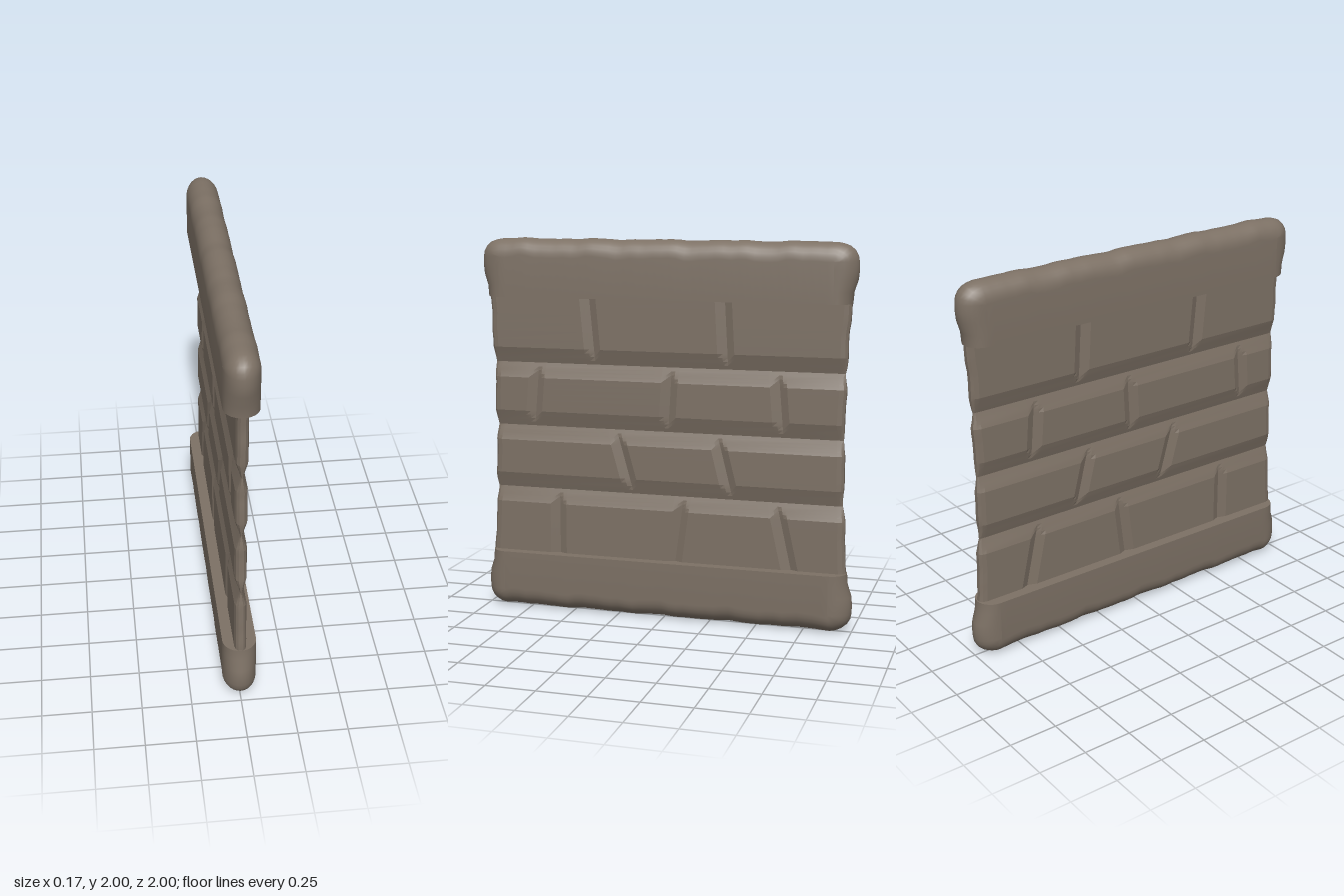
import * as THREE from 'three';
import { toCreasedNormals } from 'three/addons/utils/BufferGeometryUtils.js';

const stone = new THREE.MeshStandardMaterial({ color: 0x7d7165 });

// Skin over closed rings of [x, y, z] points, with optional fan caps
function loft(rings, capped) {
  const n = rings[0].length;
  const pos = rings.flat(2);
  const index = [];
  for (let i = 0; i < rings.length - 1; i++) {
    for (let j = 0; j < n; j++) {
      const k = (j + 1) % n;
      const a = i * n + j, b = i * n + k, c = b + n, d = a + n;
      index.push(a, b, c, a, c, d);
    }
  }
  if (capped) {
    const last = (rings.length - 1) * n;
    for (let j = 1; j < n - 1; j++) {
      index.push(0, j + 1, j, last, last + j, last + j + 1);
    }
  }
  const g = new THREE.BufferGeometry();
  g.setAttribute('position', new THREE.Float32BufferAttribute(pos, 3));
  g.setIndex(index);
  return g;
}

function addMesh(parent, name, geometry, crease) {
  const mesh = new THREE.Mesh(toCreasedNormals(geometry, crease), stone);
  mesh.name = name;
  parent.add(mesh);
  return mesh;
}

// Uneven worn-stone ripple, roughly -1..1
const ripple = (s, seed) =>
  0.5 * Math.sin(s * 17 + seed) + 0.3 * Math.sin(s * 31 + seed * 2.3) + 0.2 * Math.sin(s * 53 + seed * 4.1);

// Thick rail: flat underside at y = 1.69, outer edges rounded over
function copingGeometry(seed) {
  const base = 1.69, half = 0.085, path = [];
  for (const [z, y] of [[0.97, base], [0.975, 1.75], [0.995, 1.81], [1, 1.86], [0.998, 1.9]]) path.push([z, y]);
  for (let i = 1; i <= 5; i++) {
    const t = (i / 5) * Math.PI / 2;
    path.push([0.89 + 0.108 * Math.cos(t), 1.9 + 0.095 * Math.sin(t)]);
  }
  const corner = path.slice();
  for (let i = 1; i < 44; i++) path.push([0.89 - (1.78 * i) / 44, 1.995]);
  for (const [z, y] of corner.reverse()) path.push([-z, y]);

  const rings = path.map(([z, y]) => {
    const r = ripple(z, seed);
    const outY = y > 1.98 ? Math.min(2, y + 0.005 * r) : y;
    const inZ = THREE.MathUtils.clamp(z, -0.885, 0.885);
    const inY = Math.max(base, Math.min(y, 1.9 + 0.012 * r));
    const ring = [[-half, base, inZ]];
    for (let k = 0; k <= 14; k++) {
      const t = (k / 14 - 0.5) * Math.PI;
      const c = Math.cos(t);
      ring.push([half * Math.sin(t), inY + (outY - inY) * c, inZ + (z - inZ) * c]);
    }
    ring.push([half, base, inZ]);
    return ring;
  });
  return loft(rings, true);
}

// One course of blocks between two groove centres; joints are [z at bottom, z at top]
const FACE = 0.03;
function courseGeometry({ y0, y1, joints }) {
  const grooves = [0.66, 1, 1.34];
  const lo = y0 < 0.5 ? 0.31 : y0 + 0.08;
  const hi = y1 > 1.6 ? 1.69 : y1 - 0.08;
  const ys = [];
  for (let i = 0; i < 4; i++) ys.push(y0 + ((lo - y0) * i) / 4);
  for (let i = 0; i <= 6; i++) ys.push(lo + ((hi - lo) * i) / 6);
  for (let i = 1; i <= 4; i++) ys.push(hi + ((y1 - hi) * i) / 4);

  const rings = ys.map((y) => {
    const gap = Math.min(...grooves.map((g) => Math.abs(y - g)));
    const h = Math.min(FACE, 0.006 + 0.3 * gap);
    const edge = (side) =>
      0.945 + 0.02 * ((y - 1) / 0.69) ** 2 + 0.005 * ripple(y, side * 2) - 0.012 * (1 - h / FACE);
    const row = [];
    const el = edge(1), er = edge(-1);
    row.push([el, h * 0.4], [el - 0.012, h * 0.8], [el - 0.035, h]);
    // V-shaped upright joints, slanting with height
    for (const [zb, zt] of joints) {
      const z = THREE.MathUtils.lerp(zb, zt, (y - lo) / (hi - lo));
      for (const d of [0.05, 0.025, 0, -0.02, -0.04]) {
        const depth = 0.013 + (FACE - 0.013) * Math.abs(d) / (d > 0 ? 0.05 : 0.04);
        row.push([z + d, Math.min(h, depth)]);
      }
    }
    row.push([-er + 0.035, h], [-er + 0.012, h * 0.8], [-er, h * 0.4]);
    const front = row.map(([z, x]) => [x, y, z]);
    const back = row.map(([z, x]) => [-x, y, z]).reverse();
    return [...front, ...back];
  });
  return loft(rings, false);
}

export function createModel() {
  const group = new THREE.Group();
  group.name = 'stoneWall';

  // Rails along the top and bottom
  addMesh(group, 'topCoping', copingGeometry(1.3), 0.7);
  const foot = addMesh(group, 'bottomCoping', copingGeometry(4.2), 0.7);
  foot.rotation.z = Math.PI;
  foot.position.y = 2;

  // Thin block panel in four courses
  const panel = new THREE.Group();
  panel.name = 'blockPanel';
  group.add(panel);
  const courses = [
    { y0: 0.3, y1: 0.66, joints: [[0.585, 0.585], [-0.06, -0.095], [-0.68, -0.62]] },
    { y0: 0.66, y1: 1, joints: [[0.19, 0.24], [-0.35, -0.305]] },
    { y0: 1, y1: 1.34, joints: [[0.715, 0.7], [-0.025, -0.035], [-0.625, -0.61]] },
    { y0: 1.34, y1: 1.7, joints: [[0.385, 0.41], [-0.335, -0.32]] },
  ];
  courses.forEach((c, i) => addMesh(panel, `blockCourse${i + 1}`, courseGeometry(c), 0.2));
  return group;
}
